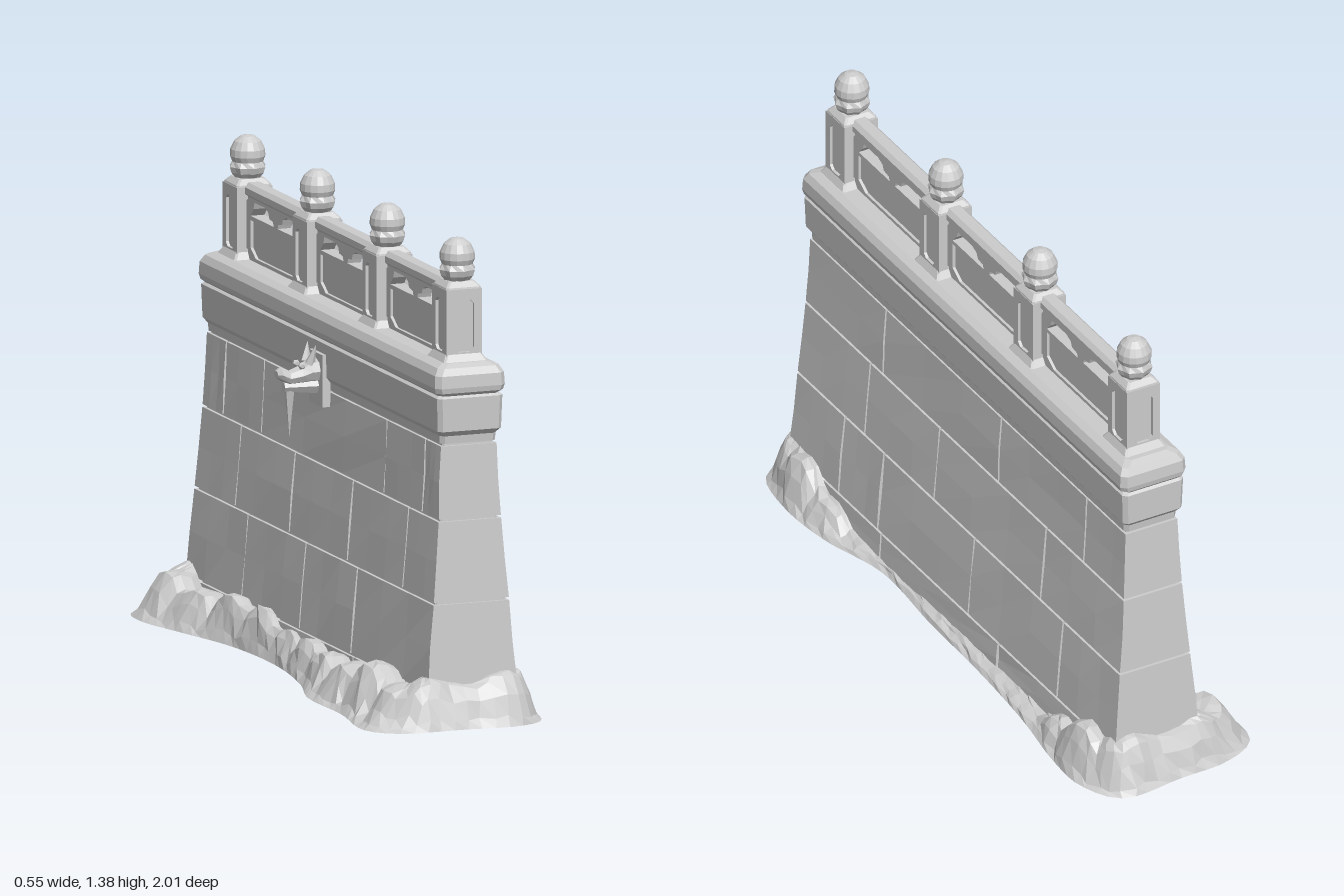
import * as THREE from 'three';

const stone = new THREE.MeshStandardMaterial({ color: 0xcccccc, flatShading: true, side: THREE.DoubleSide });
stone.name = 'stone grey';
const CX = 0.042; // centre line of the wall in x

const hash = (a, b, c = 0) => {
  const s = Math.sin(a * 127.1 + b * 311.7 + c * 74.7) * 43758.5453;
  return s - Math.floor(s) - 0.5;
};
const lerp = THREE.MathUtils.lerp;

// Piecewise-linear lookup in [[key, value], ...]
function table(rows, k) {
  for (let i = 1; i < rows.length; i++) {
    const [a, va] = rows[i - 1], [b, vb] = rows[i];
    if (k <= b) return lerp(va, vb, Math.max(0, (k - a) / (b - a)));
  }
  return rows[rows.length - 1][1];
}
const halfWidth = y => table([[0, 0.142], [0.15, 0.132], [0.36, 0.113], [0.59, 0.094], [0.8, 0.084]], y);
const halfLength = y => table([[0, 0.928], [0.1, 0.92], [0.35, 0.908], [0.59, 0.896], [0.8, 0.888]], y);

function add(parent, geo, name, x = 0, y = 0, z = 0) {
  const m = new THREE.Mesh(geo, stone);
  m.name = name;
  m.position.set(x, y, z);
  parent.add(m);
  return m;
}

// Surface through closed rings of equal length, ordered from bottom to top
function skin(rings, capped) {
  const n = rings[0].length, idx = [];
  for (let r = 0; r < rings.length - 1; r++)
    for (let i = 0; i < n; i++) {
      const a = r * n + i, b = r * n + (i + 1) % n;
      idx.push(a, a + n, b, b, a + n, b + n);
    }
  if (capped) {
    const t = (rings.length - 1) * n;
    for (let i = 1; i < n - 1; i++) idx.push(t, t + i + 1, t + i, 0, i, i + 1);
    for (let i = t; i < 0; i++) idx.push(i);
  }
  const g = new THREE.BufferGeometry();
  g.setAttribute('position', new THREE.Float32BufferAttribute(rings.flat(2), 3));
  g.setIndex(idx);
  g.computeVertexNormals();
  return g;
}

// Stack of rectangles [y, half x, half z] with clipped corners
function stack(levels, c) {
  return skin(levels.map(([y, w, l]) => [
    [w - c, l], [w, l - c], [w, c - l], [w - c, -l], [c - w, -l], [-w, c - l], [-w, l - c], [c - w, l],
  ].map(([x, z]) => [x, y, z])), true);
}

// One wall block reaching from the centre plane to the sloping face
function block(side, y0, y1, z0, z1) {
  const g = new THREE.BoxGeometry(1, 1, 1, 1, 2, 3), p = g.attributes.position, gap = 0.004;
  for (let i = 0; i < p.count; i++) {
    const a = side * p.getX(i) + 0.5, v = p.getY(i) + 0.5, w = p.getZ(i) + 0.5;
    const y = lerp(y0 + gap, y1 - gap, v), hl = halfLength(y);
    const za = z0 <= -1 ? -hl : z0 + gap, zb = z1 >= 1 ? hl : z1 - gap;
    const inner = a > 0.5 && v > 0.1 && v < 0.9;
    const bump = inner ? hash(w, y0 * 7 + z0, side) * 0.006 : 0;
    p.setXYZ(i, side * a * (halfWidth(y) + bump), y, lerp(za, zb, w));
  }
  g.computeVertexNormals();
  return g;
}

function outline(points) {
  return new THREE.Shape(points.map(([x, y]) => new THREE.Vector2(x, y)));
}
// Flat shape drawn in (z, y), given thickness along x
function slab(shape, depth) {
  return new THREE.ExtrudeGeometry(shape, { depth, bevelEnabled: false })
    .translate(0, 0, -depth / 2).rotateY(-Math.PI / 2);
}
const octagon = (w, y0, y1, c) => [
  [c - w, y0], [w - c, y0], [w, y0 + c], [w, y1 - c], [w - c, y1], [c - w, y1], [-w, y1 - c], [-w, y0 + c]];

function makeWall() {
  const g = new THREE.Group();
  g.name = 'wall';
  add(g, stack([0, 0.15, 0.36, 0.59, 0.81].map(y => [y, halfWidth(y) - 0.009, halfLength(y) - 0.009]), 0.004), 'wallCore');
  const courses = [0, 0.1, 0.35, 0.585, 0.8];
  const joints = {
    1: [[-0.26, 0.4], [-0.59, -0.09, 0.42, 0.64], [-0.46, 0.14, 0.53], [-0.67, -0.19, 0.46]],
    '-1': [[-0.3, 0.35], [-0.5, -0.06, 0.33], [-0.6, -0.19, 0.25, 0.67], [-0.74, -0.45, 0.48, 0.77]],
  };
  for (const side of [1, -1])
    joints[side].forEach((row, r) => {
      const zs = [-1, ...row, 1];
      for (let i = 0; i + 1 < zs.length; i++)
        add(g, block(side, courses[r], courses[r + 1], zs[i], zs[i + 1]), 'wallBlock');
    });
  // Cornice and rounded coping
  add(g, stack([[0.803, 0.084, 0.888], [0.825, 0.085, 0.89], [0.84, 0.096, 0.904], [0.935, 0.099, 0.907],
    [0.942, 0.09, 0.898]], 0.012), 'cornice');
  add(g, stack([[0.94, 0.09, 0.898], [0.95, 0.102, 0.908], [0.965, 0.106, 0.911], [1.0, 0.104, 0.909],
    [1.02, 0.092, 0.898], [1.03, 0.07, 0.875]], 0.015), 'coping');
  g.position.x = CX;
  return g;
}

function makePost(z) {
  const g = new THREE.Group();
  g.name = 'post';
  add(g, stack([[1.015, 0.078, 0.085], [1.03, 0.066, 0.068], [1.05, 0.054, 0.054]], 0.006), 'postFoot');
  add(g, stack([[1.03, 0.045, 0.045], [1.23, 0.045, 0.045]], 0.003), 'postCore');
  // Framed niche on each face
  const frame = outline([[-0.054, 1.03], [0.054, 1.03], [0.054, 1.235], [-0.054, 1.235]]);
  frame.holes.push(outline(octagon(0.03, 1.055, 1.205, 0.012)));
  for (let k = 0; k < 4; k++) {
    const m = add(g, slab(frame, 0.012).translate(0.048, 0, 0), 'postFrame');
    m.rotation.y = k * Math.PI / 2;
  }
  add(g, stack([[1.23, 0.054, 0.054], [1.24, 0.052, 0.052], [1.255, 0.038, 0.038]], 0.006), 'postCap');
  // Carved bud: a lobed collar below a smooth crown
  const profile = [[0.032, 1.25], [0.046, 1.268], [0.051, 1.285], [0.044, 1.3], [0.05, 1.315], [0.049, 1.335],
    [0.038, 1.358], [0.02, 1.372], [0, 1.376]].map(([r, y]) => new THREE.Vector2(r, y));
  const bud = new THREE.LatheGeometry(profile, 16), p = bud.attributes.position;
  for (let i = 0; i < p.count; i++) {
    const x = p.getX(i), zz = p.getZ(i);
    const s = p.getY(i) < 1.295 ? 1 + 0.06 * Math.cos(8 * Math.atan2(x, zz)) : 1;
    p.setXYZ(i, x * s, p.getY(i), zz * s);
  }
  add(g, bud, 'bud');
  g.position.set(CX, 0, z);
  return g;
}

function makeRailing(z) {
  const g = new THREE.Group();
  g.name = 'railing';
  const body = () => {
    const s = outline([[-0.22, 1.02], [0.22, 1.02], [0.22, 1.22], [-0.22, 1.22]]);
    // Openings either side of a cloud-shaped bracket
    for (const m of [1, -1])
      s.holes.push(outline([[0.19, 1.157], [0.015, 1.157], [0.02, 1.17], [0.048, 1.174], [0.055, 1.19],
        [0.08, 1.2], [0.16, 1.2], [0.168, 1.18]].map(([a, y]) => [m * a, y])));
    return s;
  };
  add(g, slab(body(), 0.025), 'railPanel');
  const frame = body();
  frame.holes.push(outline([[-0.15, 1.04], [0.15, 1.04], [0.19, 1.065], [0.19, 1.145], [-0.19, 1.145], [-0.19, 1.065]]));
  add(g, slab(frame, 0.042), 'railFrame');
  add(g, slab(outline(octagon(0.029, 1.205, 1.247, 0.012)), 0.44).rotateY(Math.PI / 2), 'handrail');
  g.position.set(CX, 0, z);
  return g;
}

// Beast-head water spout with an icicle
function makeSpout() {
  const g = new THREE.Group();
  g.name = 'waterSpout';
  add(g, new THREE.BoxGeometry(0.03, 0.15, 0.1), 'spoutPlate', -0.052, 0.83, 0);
  const head = [[-0.05, 0.855, 0.035, 0.038], [-0.09, 0.855, 0.035, 0.038], [-0.115, 0.845, 0.026, 0.032],
    [-0.15, 0.838, 0.02, 0.024], [-0.175, 0.85, 0.019, 0.026], [-0.187, 0.85, 0.01, 0.015]];
  add(g, skin(head.map(([x, y, h, w]) => Array.from({ length: 8 }, (_, i) => {
    const a = i * Math.PI / 4;
    return [x, y + h * Math.cos(a), w * Math.sin(a)];
  })), true), 'spoutHead');
  const jaw = add(g, new THREE.CylinderGeometry(0.014, 0.026, 0.1, 6), 'spoutJaw', -0.115, 0.812, 0);
  jaw.rotation.z = Math.PI / 2;
  for (const m of [1, -1]) {
    const ear = add(g, new THREE.ConeGeometry(0.016, 0.06, 5), 'spoutEar', -0.085, 0.905, m * 0.024);
    ear.rotation.set(m * 0.3, 0, -0.2);
    add(g, new THREE.IcosahedronGeometry(0.011, 0), 'spoutBrow', -0.118, 0.873, m * 0.022);
  }
  add(g, new THREE.ConeGeometry(0.014, 0.135, 6).rotateX(Math.PI), 'icicle', -0.147, 0.732, 0);
  return g;
}

// Rocky skirt: rings shrink from the ground outline to the wall, lifted by domes
function makeRocks() {
  const edge = [[0.2, -1], [0.27, -0.88], [0.272, -0.74], [0.24, -0.5], [0.22, -0.2], [0.215, 0.05], [0.2, 0.36],
    [0.255, 0.58], [0.27, 0.78], [0.235, 0.95], [0.15, 0.995], [0, 0.985], [-0.2, 0.975], [-0.272, 0.9], [-0.25, 0.65],
    [-0.25, 0.4], [-0.2, 0.22], [-0.165, 0], [-0.16, -0.2], [-0.18, -0.4], [-0.23, -0.6], [-0.277, -0.8],
    [-0.26, -0.92], [-0.15, -0.98], [0, -0.99]];
  const curve = new THREE.CatmullRomCurve3(edge.map(([x, z]) => new THREE.Vector3(x, 0, z)).reverse(), true);
  const domes = []; // x, z, radius, height
  for (let i = 0; i < 10; i++)
    domes.push([-0.145 + hash(i, 2) * 0.05, -0.84 + i * 0.187, 0.115, 0.125 + hash(i, 5) * 0.05]);
  for (const m of [1, -1])
    domes.push([0.02, m * 0.91, 0.1, 0.12], [0.13, m * 0.9, 0.11, 0.15], [0.19, m * 0.8, 0.11, 0.14],
      [0.18, m * 0.66, 0.1, 0.075], [-0.08, m * 0.9, 0.11, 0.14]);
  const n = 120, rings = [];
  const pts = curve.getSpacedPoints(n).slice(0, n);
  for (const t of [0, 0.1, 0.25, 0.4, 0.55, 0.7, 0.85, 1])
    rings.push(pts.map((p, i) => {
      const jx = t > 0 && t < 1 ? hash(i, t) * 0.012 : 0;
      const x = lerp(p.x, THREE.MathUtils.clamp(p.x, -0.06, 0.14), t) + jx;
      const z = lerp(p.z, THREE.MathUtils.clamp(p.z, -0.87, 0.87), t) + jx;
      let y = 0.035 * Math.sqrt(t);
      for (const [dx, dz, r, h] of domes) {
        const d = Math.hypot(x - dx, z - dz) / r;
        if (d < 1) y = Math.max(y, h * Math.sqrt(1 - d * d) * Math.min(1, t * 3));
      }
      return [x, t ? y + hash(i, t, 3) * 0.008 : 0, z];
    }));
  return skin(rings, false);
}

export function createModel() {
  const model = new THREE.Group();
  model.name = 'stoneWall';
  model.add(makeWall(), makeSpout());
  const posts = [-0.79, -0.26, 0.27, 0.8];
  posts.forEach((z, i) => {
    model.add(makePost(z));
    if (i) model.add(makeRailing((z + posts[i - 1]) / 2));
  });
  add(model, makeRocks(), 'rocks');
  return model;
}
